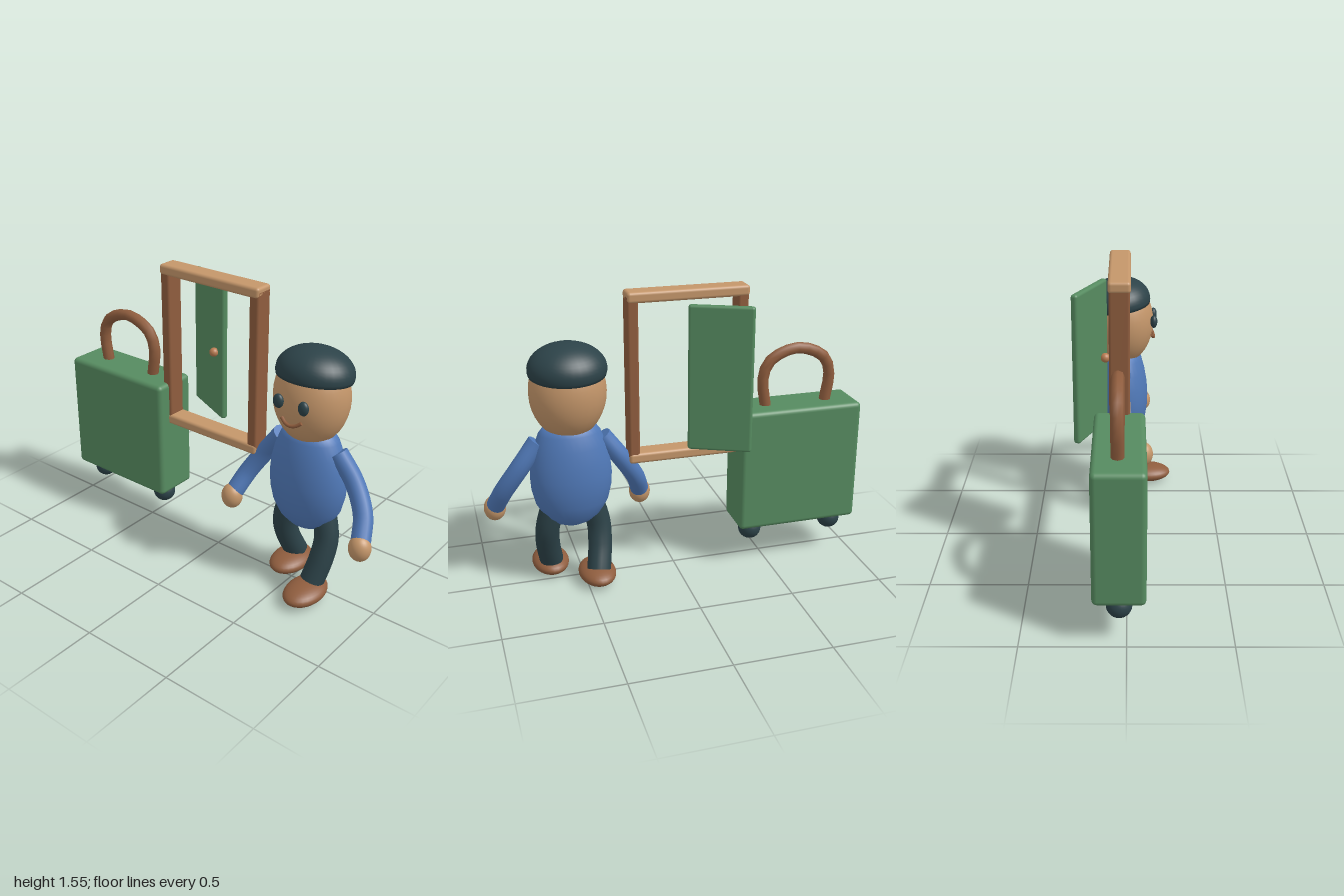
import * as THREE from 'three';
import { RoundedBoxGeometry } from 'three/addons/geometries/RoundedBoxGeometry.js';

const V = (p) => new THREE.Vector3(...p);

function makeMaterial(name, color) {
  const m = new THREE.MeshStandardMaterial({ color });
  m.name = name;
  return m;
}

export function createModel() {
  const green = makeMaterial('green', 0x568b60);
  const brown = makeMaterial('brown', 0x8f5d3e);
  const tan = makeMaterial('tan', 0xc4966a);
  const copper = makeMaterial('copper', 0xb97c52);
  const dark = makeMaterial('dark slate', 0x2c4248);
  const blue = makeMaterial('blue', 0x5079b8);

  const root = new THREE.Group();
  root.name = 'travellerScene';

  function group(name, parent = root) {
    const g = new THREE.Group();
    g.name = name;
    parent.add(g);
    return g;
  }
  function add(parent, name, geometry, material, pos = [0, 0, 0]) {
    const m = new THREE.Mesh(geometry, material);
    m.name = name;
    m.position.set(...pos);
    parent.add(m);
    return m;
  }
  const box = (parent, name, mat, size, pos, r) =>
    add(parent, name, new RoundedBoxGeometry(...size, 3, r), mat, pos);
  function ellipsoid(parent, name, mat, radii, pos) {
    const m = add(parent, name, new THREE.SphereGeometry(1, 28, 18), mat, pos);
    m.scale.set(...radii);
    return m;
  }
  // Tube along a smooth path, closed by a disc at each end
  function tube(parent, name, mat, points, r, segments = 20, sides = 16) {
    const curve = new THREE.CatmullRomCurve3(points.map(V));
    const g = group(name, parent);
    add(g, name + 'Tube', new THREE.TubeGeometry(curve, segments, r, sides), mat);
    for (const t of [0, 1]) {
      const cap = add(g, name + 'End', new THREE.CircleGeometry(r, sides), mat, curve.getPoint(t).toArray());
      const dir = curve.getTangent(t).multiplyScalar(t ? 1 : -1);
      cap.quaternion.setFromUnitVectors(new THREE.Vector3(0, 0, 1), dir);
    }
    return g;
  }

  // Suitcase
  const suitcase = group('suitcase');
  box(suitcase, 'caseBody', green, [0.67, 0.67, 0.25], [-0.665, 0.555, -0.035], 0.025);
  const half = [[-0.167, 0.87], [-0.187, 1.04], [-0.15, 1.13]];
  const arch = [...half, [0, 1.188], ...half.map(([x, y]) => [-x, y]).reverse()];
  tube(suitcase, 'caseHandle', brown, arch.map(([x, y]) => [x - 0.665, y, -0.04]), 0.031, 16, 8);
  for (const x of [-0.905, -0.43]) ellipsoid(suitcase, 'wheel', dark, [0.062, 0.062, 0.062], [x, 0.17, -0.035]);

  // Door frame
  const frame = group('doorFrame');
  for (const x of [-0.343, 0.227]) box(frame, 'framePost', brown, [0.056, 0.87, 0.1], [x, 1.1, -0.035], 0.012);
  for (const y of [0.68, 1.521]) box(frame, 'frameRail', tan, [0.63, 0.056, 0.108], [-0.06, y, -0.035], 0.016);

  // Door, swung open
  const door = group('door');
  door.position.set(-0.195, 1.1, -0.18);
  door.rotation.y = -0.43;
  box(door, 'doorPanel', green, [0.328, 0.76, 0.036], [0, 0, 0], 0.014);
  ellipsoid(door, 'doorKnob', copper, [0.024, 0.024, 0.024], [0.1, -0.01, 0.033]);

  // Walking figure
  const person = group('person');
  person.position.set(0.553, 0, -0.03);
  const profile = [[0, 0.33], [0.05, 0.336], [0.1, 0.358], [0.15, 0.4], [0.188, 0.47], [0.207, 0.55], [0.211, 0.62],
    [0.204, 0.7], [0.185, 0.78], [0.158, 0.85], [0.135, 0.88], [0.1, 0.892], [0, 0.895]];
  const torso = add(person, 'torso',
    new THREE.LatheGeometry(profile.map((p) => new THREE.Vector2(...p)), 32), blue);
  torso.scale.z = 0.7;
  ellipsoid(person, 'head', tan, [0.195, 0.245, 0.177], [0, 1.065, 0]);

  // Cap: flattened dome closed underneath
  const dome = [new THREE.Vector2(0, -0.22)];
  for (let i = 0; i <= 14; i++) {
    const a = Math.PI * (0.57 - 0.57 * i / 14);
    dome.push(new THREE.Vector2(Math.sin(a), Math.cos(a)));
  }
  dome[dome.length - 1].x = 0;
  const capGroup = group('cap', person);
  capGroup.position.set(0, 1.187, -0.018);
  capGroup.rotation.x = -0.12;
  add(capGroup, 'capDome', new THREE.LatheGeometry(dome, 32), dark).scale.set(0.198, 0.128, 0.178);

  // Face
  for (const s of [-1, 1]) ellipsoid(person, 'eye', dark, [0.028, 0.036, 0.02], [s * 0.071, 1.083, 0.179]);
  tube(person, 'mouth', brown, [[-0.056, 0.998, 0.168], [-0.03, 0.98, 0.177], [0, 0.973, 0.181],
    [0.03, 0.98, 0.177], [0.056, 0.998, 0.168]], 0.009, 12, 8);

  // Limbs
  for (const s of [-1, 1]) {
    const arm = group(s > 0 ? 'leftArm' : 'rightArm', person);
    tube(arm, 'sleeve', blue, [[s * 0.165, 0.81, 0], [s * 0.265, 0.675, -0.005],
      [s * 0.345, 0.545, 0.035], [s * 0.383, 0.44, 0.105]], 0.049);
    ellipsoid(arm, 'hand', tan, [0.057, 0.068, 0.054], [s * 0.388, 0.417, 0.12]);

    const leg = group(s > 0 ? 'leftLeg' : 'rightLeg', person);
    const path = s > 0
      ? [[0.1, 0.46, -0.005], [0.134, 0.32, 0.01], [0.132, 0.21, 0.045], [0.112, 0.09, 0.09]]
      : [[-0.1, 0.46, 0], [-0.134, 0.32, -0.005], [-0.132, 0.21, -0.035], [-0.112, 0.09, -0.09]];
    tube(leg, 'trouserLeg', dark, path, 0.063);
    ellipsoid(leg, 'shoe', brown, [0.098, 0.05, 0.146], [s * 0.11, 0.053, s > 0 ? 0.145 : -0.045]);
  }

  return root;
}
